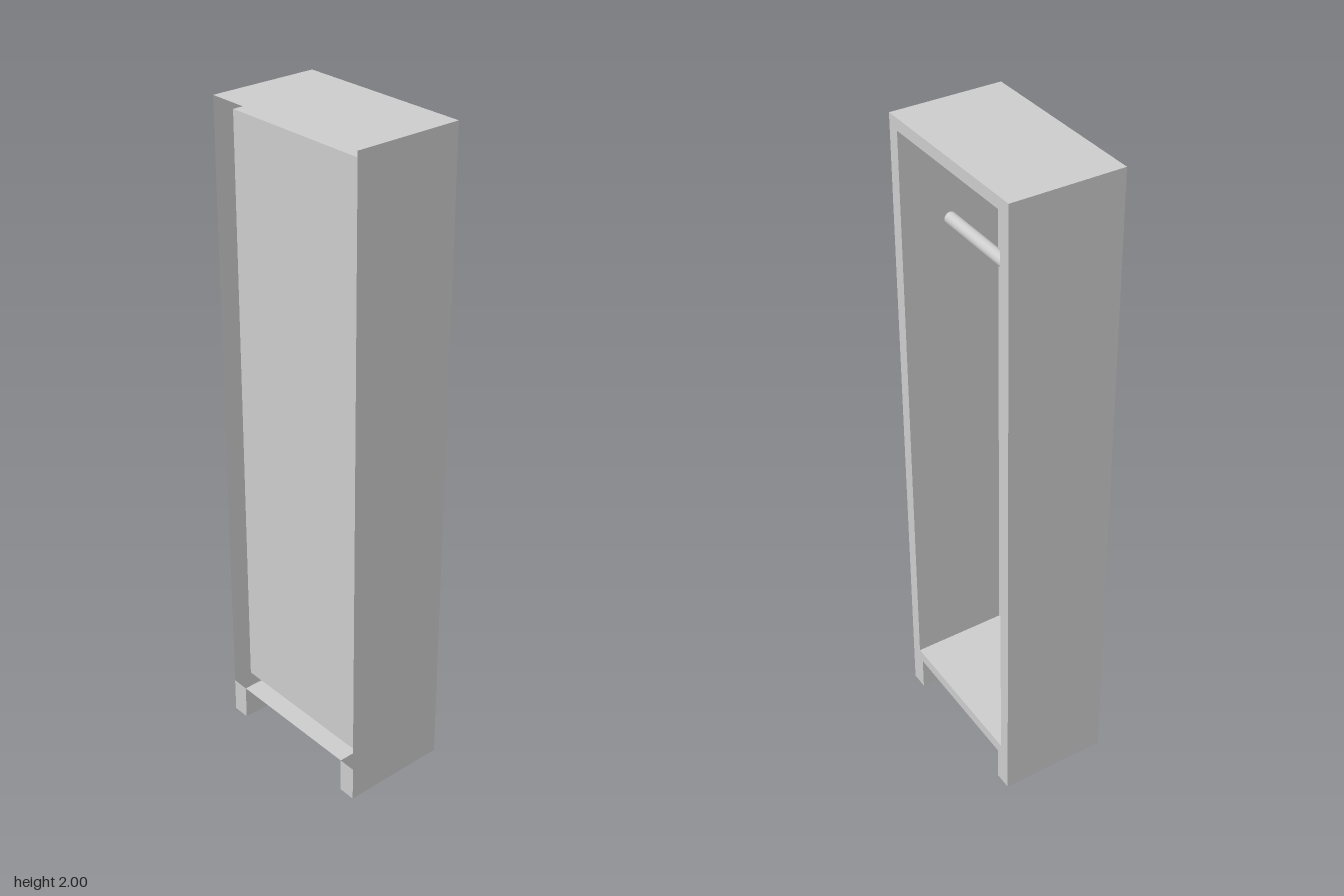
import * as THREE from 'three';

const mat = new THREE.MeshStandardMaterial({ color: 0xcccccc, side: THREE.DoubleSide });

// Outlines are drawn in the plane of the open side, then turned to face +x.
const FRONT = 0.167, BACK = -0.167, CAVITY_BACK = -0.133;
const HALF = 0.279, FOOT_IN = 0.225, FOOT_H = 0.111;
const IN = 0.241, IN_BOTTOM = 0.147, IN_TOP = 1.965;

const outer = [
  [-HALF, 0], [-FOOT_IN, 0], [-FOOT_IN, FOOT_H], [FOOT_IN, FOOT_H],
  [FOOT_IN, 0], [HALF, 0], [HALF, 2], [-HALF, 2],
];
const inner = [[-IN, IN_BOTTOM], [-IN, IN_TOP], [IN, IN_TOP], [IN, IN_BOTTOM]];
const toPoints = (list) => list.map(([x, y]) => new THREE.Vector2(x, y));

// Open-ended walls following a closed outline from depth d0 to d1
function walls(outline, d0, d1) {
  const pos = [];
  outline.forEach(([ax, ay], i) => {
    const [bx, by] = outline[(i + 1) % outline.length];
    pos.push(ax, ay, d0, bx, by, d0, bx, by, d1, ax, ay, d0, bx, by, d1, ax, ay, d1);
  });
  const geo = new THREE.BufferGeometry();
  geo.setAttribute('position', new THREE.Float32BufferAttribute(pos, 3));
  geo.computeVertexNormals();
  return geo;
}

export function createModel() {
  const model = new THREE.Group();
  model.name = 'openWardrobe';

  const body = new THREE.Group();
  body.name = 'wardrobeBody';
  body.rotation.y = Math.PI / 2;
  model.add(body);

  const add = (name, geo) => {
    const mesh = new THREE.Mesh(geo, mat);
    mesh.name = name;
    body.add(mesh);
    return mesh;
  };

  // Outer shell with feet, left open at the back
  add('outerShell', walls(outer, BACK, FRONT));

  // Frame around the opening
  const frame = new THREE.Shape(toPoints(outer));
  frame.holes.push(new THREE.Path(toPoints(inner)));
  add('openingFrame', new THREE.ShapeGeometry(frame)).position.z = FRONT;

  // Compartment walls and the recessed back panel
  add('compartmentWalls', walls(inner, CAVITY_BACK, FRONT));
  add('backPanel', new THREE.PlaneGeometry(2 * IN, IN_TOP - IN_BOTTOM))
    .position.set(0, (IN_TOP + IN_BOTTOM) / 2, CAVITY_BACK);

  // Closed backs of the two feet
  for (const side of [-1, 1]) {
    const foot = add('footBack', new THREE.PlaneGeometry(HALF - FOOT_IN, FOOT_H));
    foot.position.set(side * (HALF + FOOT_IN) / 2, FOOT_H / 2, BACK);
    foot.rotation.y = Math.PI;
  }

  // Hanging rail across the compartment
  const rail = add('hangingRail', new THREE.CylinderGeometry(0.018, 0.018, 2 * IN, 32));
  rail.rotation.z = Math.PI / 2;
  rail.position.set(0, 1.672, 0.018);

  return model;
}
